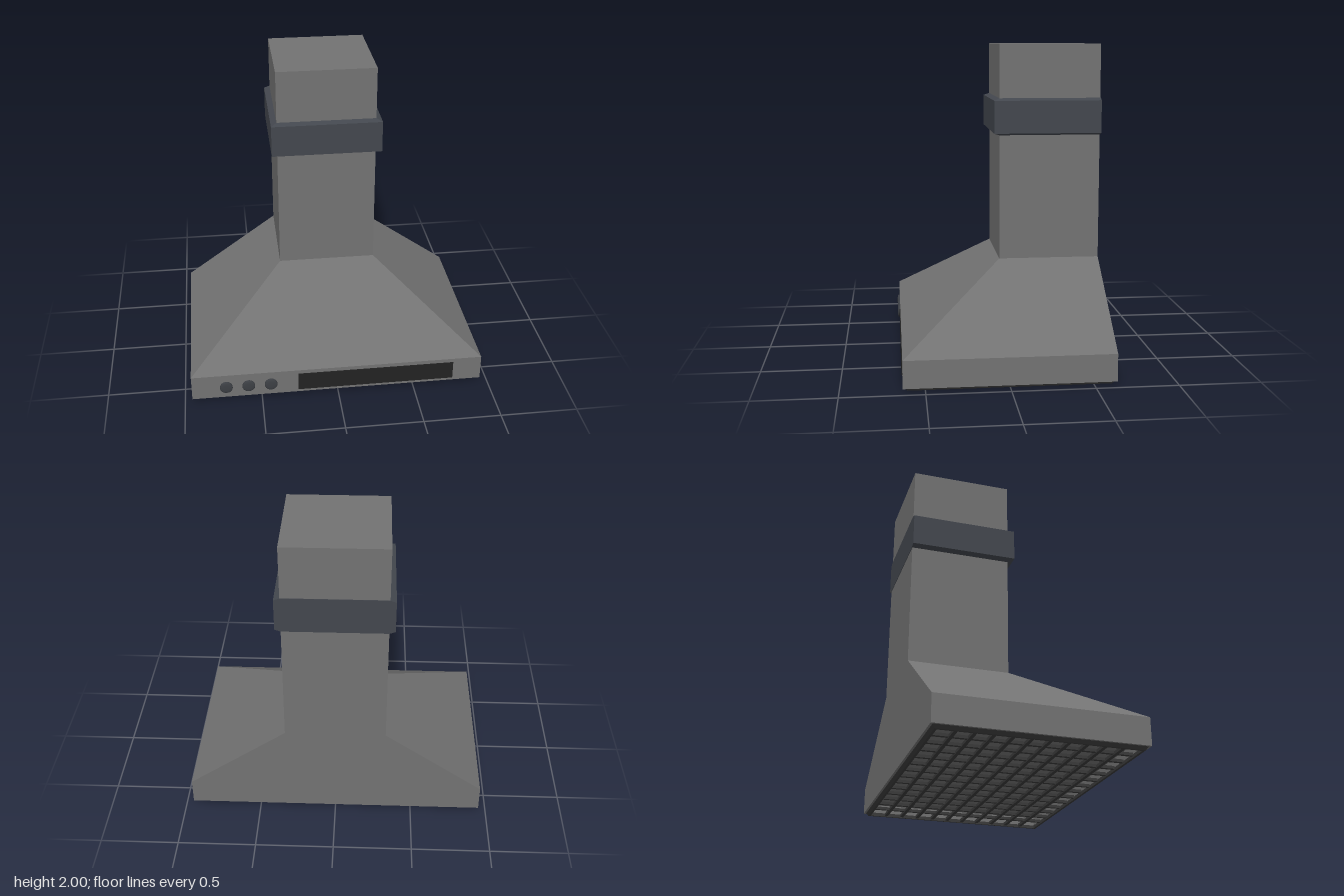
import * as THREE from 'three';

const paint = (color) => new THREE.MeshStandardMaterial({ color });

// Flat-faced solid through stacked rectangles [halfWidth, back, front, y]; the ends are capped if asked
function loft(sections, capped = true) {
  const pos = [];
  const rings = sections.map(([w, b, f, y]) => [[-w, y, f], [w, y, f], [w, y, b], [-w, y, b]]);
  const quad = (a, b, c, d) => pos.push(...a, ...b, ...c, ...a, ...c, ...d);
  for (let s = 0; s < rings.length - 1; s++) {
    const lo = rings[s], hi = rings[s + 1];
    for (let i = 0; i < 4; i++) {
      const j = (i + 1) % 4;
      quad(lo[i], lo[j], hi[j], hi[i]);
    }
  }
  if (capped) {
    const lo = rings[0], hi = rings[rings.length - 1];
    quad(lo[3], lo[2], lo[1], lo[0]);
    quad(...hi);
  }
  const geo = new THREE.BufferGeometry();
  geo.setAttribute('position', new THREE.Float32BufferAttribute(pos, 3));
  geo.computeVertexNormals();
  return geo;
}

export function createModel() {
  const group = new THREE.Group();
  const steel = paint(0x727272);
  const bandMat = paint(0x43474e);
  const dark = paint(0x3a3a3a);
  const glass = paint(0x222222);
  const knobMat = paint(0x3c3f44);

  const add = (name, geo, mat, x = 0, y = 0, z = 0, parent = group) => {
    const mesh = new THREE.Mesh(geo, mat);
    mesh.name = name;
    mesh.position.set(x, y, z);
    parent.add(mesh);
    return mesh;
  };

  // Canopy with a shallow recess underneath, sloping up into the chimney
  add('canopyAndChimney', loft([
    [0.91, -0.595, 0.59, 0.075],
    [0.91, -0.595, 0.59, 0.02],
    [0.953, -0.638, 0.632, 0.02],
    [0.953, -0.638, 0.632, 0.19],
    [0.32, -0.64, 0, 0.64],
    [0.32, -0.64, 0, 2],
  ]), steel);

  // Bevelled collar around the chimney, flush at the back
  add('chimneyBand', loft([
    [0.32, -0.643, 0, 1.43],
    [0.357, -0.643, 0.035, 1.443],
    [0.357, -0.643, 0.035, 1.648],
    [0.32, -0.643, 0, 1.662],
  ]), bandMat);

  // Bevelled rim below the canopy
  add('bottomRim', loft([
    [0.91, -0.595, 0.59, 0.022],
    [0.91, -0.595, 0.59, 0],
    [0.925, -0.61, 0.605, 0],
    [0.94, -0.625, 0.62, 0.021],
  ], false), dark);

  // Filter grille: crossing bars
  const grille = new THREE.Group();
  grille.name = 'filterGrille';
  group.add(grille);
  const nx = 14, nz = 11;
  const longBar = new THREE.BoxGeometry(1.82, 0.018, 0.022);
  const crossBar = new THREE.BoxGeometry(0.022, 0.018, 1.185);
  for (let i = 1; i < nx; i++) {
    add('crossBar', crossBar, dark, -0.91 + (1.82 * i) / nx, 0.019, -0.0025, grille);
  }
  for (let i = 1; i < nz; i++) {
    add('longBar', longBar, dark, 0, 0.014, -0.595 + (1.185 * i) / nz, grille);
  }

  // Display strip on the front
  add('displayPanel', new THREE.BoxGeometry(1.026, 0.124, 0.012), glass, 0.252, 0.102, 0.631);

  // Three control knobs, softly domed
  const knob = new THREE.LatheGeometry(
    [[0.041, 0], [0.041, 0.012], [0.036, 0.016], [0.02, 0.018], [0, 0.018]]
      .map(([r, y]) => new THREE.Vector2(r, y)), 32);
  knob.rotateX(Math.PI / 2);
  for (const x of [-0.73, -0.585, -0.44]) add('knob', knob, knobMat, x, 0.1, 0.63);

  return group;
}
